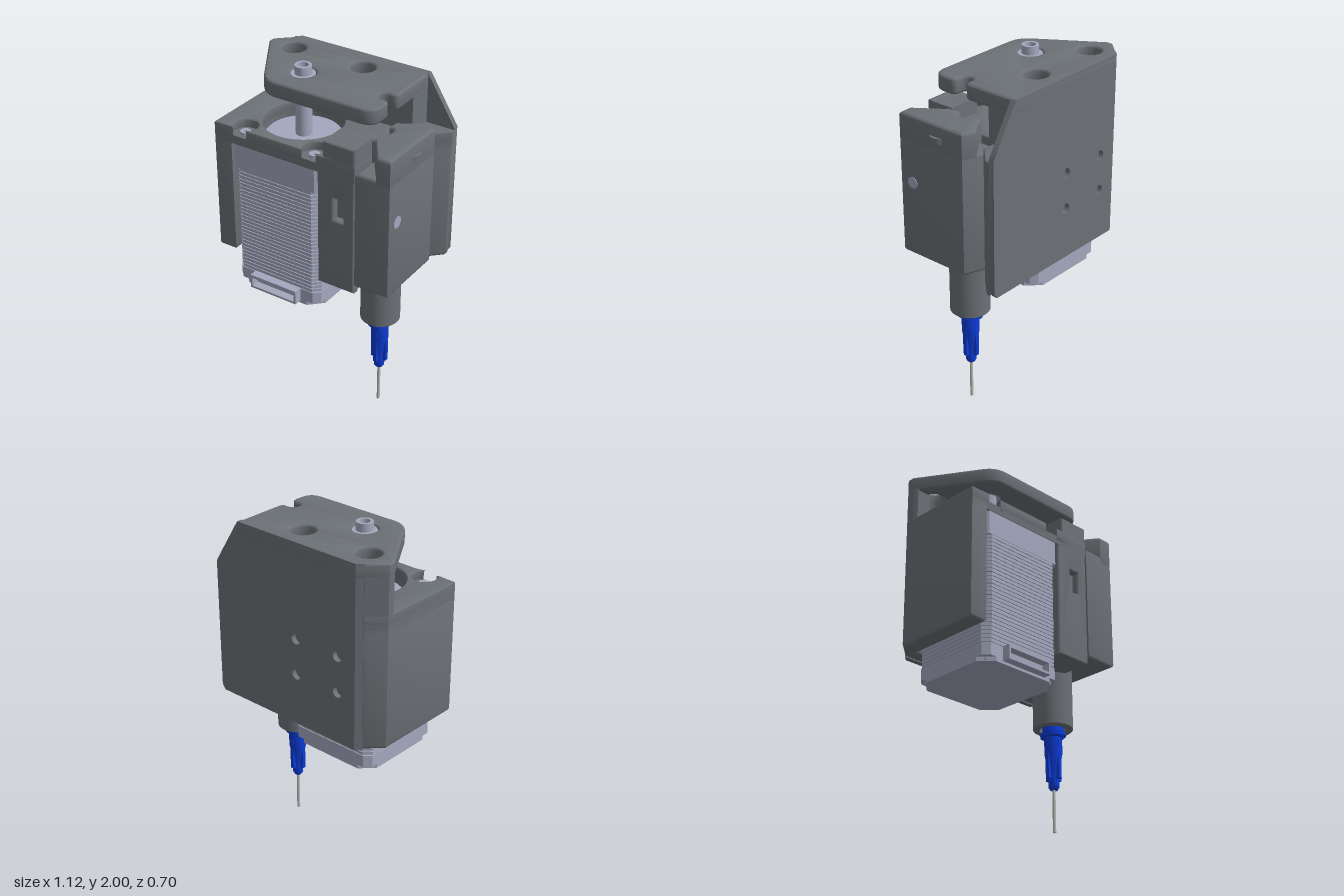
import * as THREE from 'three';
import { toCreasedNormals } from 'three/addons/utils/BufferGeometryUtils.js';

const mat = (name, color) => {
  const m = new THREE.MeshStandardMaterial({ color });
  m.name = name;
  return m;
};

export function createModel() {
  const root = new THREE.Group();
  const grey = mat('housing grey', 0x6c7176);
  const metal = mat('motor metal', 0xa3a8bd);
  const blue = mat('hub blue', 0x0b3bd8);
  const steel = mat('needle steel', 0xb8b8b4);

  const add = (name, geo, material, x = 0, y = 0, z = 0) => {
    const mesh = new THREE.Mesh(geo, material);
    mesh.name = name;
    mesh.position.set(x, y, z);
    root.add(mesh);
    return mesh;
  };
  const poly = (pts) => new THREE.Shape(pts.map((p) => new THREE.Vector2(...p)));
  const hole = (shape, x, y, r) => shape.holes.push(new THREE.Path().absarc(x, y, r, 0, Math.PI * 2, true));
  const extrude = (shape, h, b) => new THREE.ExtrudeGeometry(shape, {
    depth: h - 2 * b, bevelEnabled: b > 0, bevelSize: b, bevelThickness: b,
    bevelOffset: -b, bevelSegments: 3, curveSegments: 20,
  });
  // Plan outline (x, z) raised from y0 to y1
  const slab = (name, shape, y0, y1, b = 0, material = grey) => {
    const g = extrude(shape, y1 - y0, b).rotateX(Math.PI / 2).translate(0, y1 - b, 0);
    return add(name, toCreasedNormals(g, 0.6), material);
  };
  const rod = (name, r, y0, y1, x, z, material) =>
    add(name, new THREE.CylinderGeometry(r, r, y1 - y0, 32), material, x, (y0 + y1) / 2, z);
  const lathe = (name, pts, x, z, material) =>
    add(name, toCreasedNormals(new THREE.LatheGeometry(pts.map((p) => new THREE.Vector2(...p)), 32), 0.6), material, x, 0, z);

  const MX = -0.175, MZ = 0.028, SX = 0.33, SZ = 0.025;
  const screwX = [-0.395, 0.05];

  // Shared rear and right edge of the housing, with half the needle bore
  const housingEdge = () => {
    const s = poly([[-0.56, -0.235], [-0.472, -0.32], [0.55, -0.32], [0.55, -0.295],
      [0.45, -0.195], [SX, -0.195], [SX, SZ - 0.04]]);
    s.absarc(SX, SZ, 0.04, -Math.PI / 2, Math.PI / 2, true);
    return s;
  };

  // Housing wrapped around three sides of the motor
  const body = housingEdge();
  [[SX, 0.262], [0.1, 0.262], [0.1, -0.245], [-0.452, -0.245], [-0.452, 0.305], [-0.56, 0.305]]
    .forEach((p) => body.lineTo(...p));
  slab('housingBody', body, 0.9, 1.62, 0.02);

  // Deck over the motor: plain lower layer, upper layer with screw pockets
  const lower = housingEdge();
  [[SX, 0.305], [-0.56, 0.305]].forEach((p) => lower.lineTo(...p));
  hole(lower, MX, MZ, 0.222);
  slab('deckLower', lower, 1.58, 1.63);
  const upper = housingEdge();
  upper.lineTo(SX, 0.305);
  for (const x of [...screwX].reverse()) {
    upper.lineTo(x + 0.0433, 0.305);
    upper.absarc(x, 0.25, 0.07, 0.904, Math.PI - 0.904, true);
  }
  upper.lineTo(-0.56, 0.305);
  hole(upper, MX, MZ, 0.222);
  screwX.forEach((x) => hole(upper, x, -0.2, 0.068));
  slab('deckUpper', upper, 1.61, 1.68, 0.008);

  // Front cheek with a small rectangular window
  const cheek = poly([[0.1, 0.9], [SX, 0.9], [SX, 1.77], [0.135, 1.77], [0.135, 1.62], [0.1, 1.62]]);
  cheek.holes.push(new THREE.Path([[0.2, 1.32], [0.2, 1.45], [0.26, 1.45], [0.26, 1.32]]
    .map((p) => new THREE.Vector2(...p))));
  add('frontCheek', toCreasedNormals(extrude(cheek, 0.05, 0.012), 0.6), grey, 0, 0, 0.267);
  add('cheekTop', new THREE.BoxGeometry(0.193, 0.11, 0.155), grey, 0.2335, 1.713, 0.2075);

  // Back plate with four mounting holes, left edge mitred to the housing chamfer
  const back = poly([[-0.44, 0.9], [0.53, 0.9], [0.55, 0.93], [0.55, 1.69], [0.5, 1.77], [0.38, 1.96], [-0.44, 1.96]]);
  for (const x of [-0.03, -0.32]) for (const y of [1.2, 1.41]) hole(back, x, y, 0.03);
  const backGeo = extrude(back, 0.032, 0).translate(0, 0, -0.35);
  const bp = backGeo.attributes.position;
  for (let i = 0; i < bp.count; i++) if (bp.getX(i) < -0.43 && bp.getZ(i) > -0.33) bp.setX(i, -0.472);
  add('backPlate', toCreasedNormals(backGeo, 0.6), grey);

  // Upper rear wall with screwdriver channels
  const wall = poly([[-0.56, -0.235], [-0.472, -0.32], [0.38, -0.32], [0.38, -0.17]]);
  const a = Math.asin(0.03 / 0.068), w = 0.068 * Math.cos(a);
  for (const x of [...screwX].reverse()) {
    wall.lineTo(x + w, -0.17);
    wall.absarc(x, -0.2, 0.068, a, Math.PI - a, true);
  }
  wall.lineTo(-0.54, -0.17);
  wall.lineTo(-0.56, -0.2);
  slab('upperWall', wall, 1.67, 1.89);

  // Top plate with needle notch, shaft hole and screw access holes
  const plate = poly([[-0.56, -0.2], [-0.56, -0.235], [-0.44, -0.35], [0.38, -0.35], [0.38, -0.04]]);
  plate.quadraticCurveTo(0.38, -0.01, 0.35, -0.01);
  plate.lineTo(SX, -0.01);
  plate.absarc(SX, SZ, 0.035, -Math.PI / 2, Math.PI / 2, true);
  plate.lineTo(0.345, 0.06);
  plate.quadraticCurveTo(0.38, 0.06, 0.38, 0.095);
  plate.lineTo(0.38, 0.13);
  plate.quadraticCurveTo(0.38, 0.215, 0.29, 0.215);
  plate.lineTo(-0.22, 0.215);
  plate.quadraticCurveTo(-0.3, 0.215, -0.345, 0.14);
  screwX.forEach((x) => hole(plate, x, -0.2, 0.068));
  hole(plate, MX, SZ, 0.068);
  slab('topPlate', plate, 1.87, 1.96, 0.014);

  // Clip-on side module, the upper layer with cut inner corners
  const sideOutline = (front, rear) => {
    const s = poly([...front, [0.335, SZ + 0.04]]);
    s.absarc(0.335, SZ, 0.04, Math.PI / 2, -Math.PI / 2, true);
    [...rear, [0.54, -0.13], [0.54, 0.305]].forEach((p) => s.lineTo(...p));
    return s;
  };
  slab('sideModule', sideOutline([[0.335, 0.305]], [[0.335, -0.19], [0.38, -0.19]]), 0.95, 1.64, 0.018);
  slab('sideModuleTop', sideOutline([[0.46, 0.305], [0.35, 0.15], [0.335, 0.15]],
    [[0.335, -0.08], [0.37, -0.09], [0.46, -0.16]]), 1.58, 1.77, 0.018);
  rod('thumbTab', 0.06, 1.67, 1.7, 0.498, 0.05, grey);
  add('sideScrew', new THREE.CylinderGeometry(0.033, 0.033, 0.008, 24).rotateZ(Math.PI / 2), metal, 0.539, 1.385, 0.225);

  // Motor: end bells and a stack of laminations
  const octagon = (h, c) => poly([[-h, -h + c], [-h + c, -h], [h - c, -h], [h, -h + c],
    [h, h - c], [h - c, h], [-h + c, h], [-h, h - c]].map(([x, z]) => [x + MX, z + MZ]));
  slab('motorFoot', octagon(0.272, 0.075), 0.705, 0.735, 0, metal);
  slab('motorLowerBell', octagon(0.272, 0.035), 0.73, 0.8, 0, metal);
  slab('motorCore', octagon(0.267, 0.04), 0.79, 1.45, 0, metal);
  const layers = 28, pitch = 0.64 / layers;
  for (let i = 0; i < layers; i++) {
    const y = 0.8 + i * pitch;
    slab('lamination', octagon(0.272, 0.04), y + 0.005, y + pitch, 0, metal);
  }
  slab('motorUpperBell', octagon(0.274, 0.02), 1.44, 1.58, 0, metal);
  rod('motorBoss', 0.205, 1.57, 1.6, MX, SZ, metal);
  for (const x of screwX) for (const z of [-0.2, 0.25]) {
    rod('motorScrew', 0.03, 1.62, 1.645, x, z, metal);
    rod('footScrew', 0.022, 0.715, 0.735, x, z, metal);
  }

  // Motor connector: open-faced socket
  const socket = poly([[-0.325, 0.72], [-0.02, 0.72], [-0.02, 0.803], [-0.325, 0.803]]);
  socket.holes.push(new THREE.Path([[-0.313, 0.733], [-0.313, 0.785], [-0.032, 0.785], [-0.032, 0.733]]
    .map((p) => new THREE.Vector2(...p))));
  add('connector', extrude(socket, 0.05, 0), metal, 0, 0, 0.298);

  // Shaft, bearing and collar
  rod('shaft', 0.045, 1.58, 1.97, MX, SZ, metal);
  rod('bearing', 0.067, 1.885, 1.953, MX, SZ, metal);
  lathe('shaftCollar', [[0.047, 1.95], [0.047, 2], [0.03, 2], [0.03, 1.975], [0, 1.975]], MX, SZ, metal);

  // Needle holder tube
  lathe('needleHolder', [[0.034, 1.0], [0.034, 0.65], [0.075, 0.62], [0.075, 0.59], [0.107, 0.59],
    [0.112, 0.595], [0.112, 1.0], [0.034, 1.0]], SX, SZ, grey);

  // Needle hub with collar, lugs and four fins
  lathe('needleHub', [[0, 0.24], [0.02, 0.24], [0.03, 0.255], [0.03, 0.3], [0.036, 0.37], [0.05, 0.45],
    [0.05, 0.54], [0.06, 0.545], [0.06, 0.6], [0.033, 0.66], [0.008, 0.66], [0, 0.66]], SX, SZ, blue);
  for (let i = 0; i < 2; i++) {
    add('hubFin', new THREE.BoxGeometry(0.1, 0.22, 0.022).rotateY(i * Math.PI / 2), blue, SX, 0.41, SZ);
  }
  const lug = add('hubLug', new THREE.CylinderGeometry(0.072, 0.072, 0.022, 32), blue, SX, 0.56, SZ);
  lug.rotation.z = 0.12;
  rod('needle', 0.009, 0, 0.67, SX, SZ, steel);

  return root;
}
